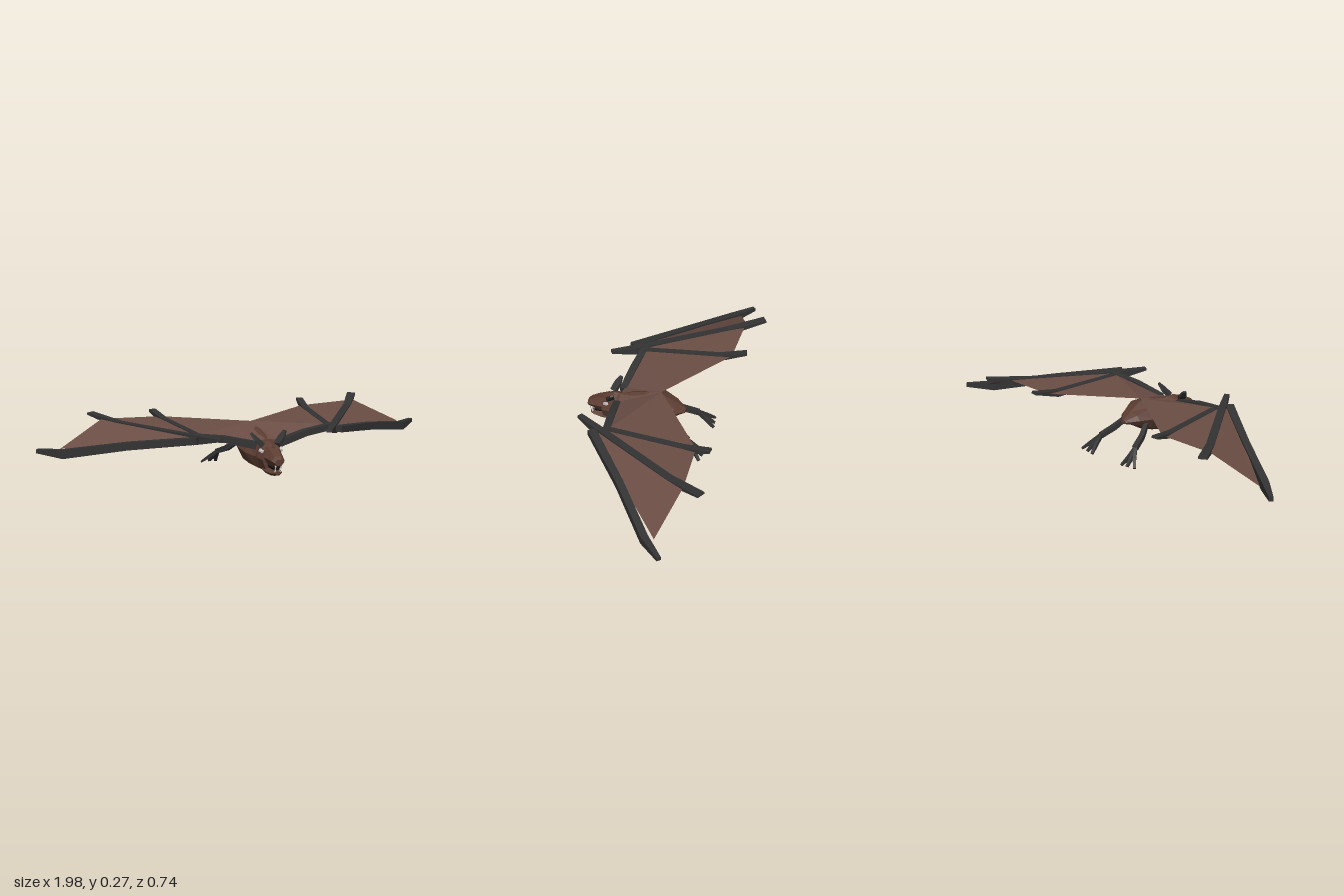
import * as THREE from 'three';

const material = (color, side = THREE.FrontSide) =>
  new THREE.MeshStandardMaterial({ color, side, flatShading: true });
const fur = material(0x5c3d32);
const bone = material(0x333333);
const skin = material(0x6b4e45, THREE.DoubleSide);
const mouthDark = material(0x1c1616);
const ivory = material(0xcccccc);

const v = (x, y, z) => new THREE.Vector3(x, y, z);

function meshFrom(name, points, mat) {
  const geo = new THREE.BufferGeometry().setFromPoints(points);
  geo.computeVertexNormals();
  const mesh = new THREE.Mesh(geo, mat);
  mesh.name = name;
  return mesh;
}

// Skins a list of equal-sized rings and caps both ends
function loft(name, rings, mat) {
  const pts = [], n = rings[0].length;
  for (let i = 0; i < rings.length - 1; i++) {
    for (let j = 0; j < n; j++) {
      const k = (j + 1) % n;
      const a = rings[i][j], b = rings[i][k], c = rings[i + 1][j], d = rings[i + 1][k];
      pts.push(a, b, d, a, d, c);
    }
  }
  const first = rings[0], last = rings[rings.length - 1];
  for (let j = 1; j < n - 1; j++) {
    pts.push(first[0], first[j + 1], first[j], last[0], last[j], last[j + 1]);
  }
  return meshFrom(name, pts, mat);
}

// Rounded trunk from stations [z, bottom, top, half width]
function trunk(name, stations, mat, sides = 8) {
  return loft(name, stations.map(([z, lo, hi, w]) =>
    Array.from({ length: sides }, (_, j) => {
      const a = (j / sides) * Math.PI * 2;
      return v(w * Math.cos(a), (lo + hi) / 2 + ((hi - lo) / 2) * Math.sin(a), z);
    })), mat);
}

// Square-section bone through stations [x, y, z, width, height]
function beam(name, s, stations, mat = bone) {
  const centres = stations.map(([x, y, z]) => v(x * s, y, z));
  const rings = stations.map(([, , , w, h], i) => {
    const p = centres[i];
    const dir = centres[Math.min(i + 1, centres.length - 1)].clone()
      .sub(centres[Math.max(i - 1, 0)]).normalize();
    const right = v(0, 1, 0).cross(dir).normalize();
    const up = dir.clone().cross(right);
    return [[1, 1], [-1, 1], [-1, -1], [1, -1]].map(([a, b]) =>
      p.clone().addScaledVector(right, a * w / 2).addScaledVector(up, b * h / 2));
  });
  return loft(name, rings, mat);
}

// Membrane panel as a fan of triangles
function panel(name, s, corners) {
  const c = corners.map(([x, y, z]) => v(x * s, y, z));
  const pts = [];
  for (let i = 1; i < c.length - 1; i++) {
    pts.push(c[0], ...(s > 0 ? [c[i], c[i + 1]] : [c[i + 1], c[i]]));
  }
  return meshFrom(name, pts, skin);
}

function wing(s) {
  const g = new THREE.Group();
  g.name = s > 0 ? 'leftWing' : 'rightWing';
  g.add(
    beam('armBone', s, [[0.055, 0.175, 0.205, 0.035, 0.035], [0.2, 0.212, 0.19, 0.035, 0.03],
      [0.35, 0.23, 0.172, 0.035, 0.03]]),
    beam('innerFinger', s, [[0.325, 0.226, 0.18, 0.03, 0.03], [0.37, 0.232, -0.2, 0.034, 0.03],
      [0.391, 0.264, -0.33, 0.034, 0.012]]),
    beam('middleFinger', s, [[0.265, 0.24, 0.325, 0.026, 0.012], [0.345, 0.222, 0.195, 0.034, 0.045],
      [0.595, 0.235, -0.19, 0.038, 0.03], [0.695, 0.266, -0.36, 0.042, 0.01]]),
    beam('outerFinger', s, [[0.35, 0.228, 0.24, 0.04, 0.03], [0.62, 0.18, 0.03, 0.034, 0.036],
      [0.88, 0.123, -0.155, 0.034, 0.042], [0.985, 0.126, -0.248, 0.02, 0.018]]),
    // Panels between body and fingers
    panel('innerMembrane', s, [[0, 0.245, 0], [0, 0.2, 0.2], [0.06, 0.19, 0.2],
      [0.33, 0.238, 0.172], [0.372, 0.245, -0.26]]),
    panel('middleMembrane', s, [[0.33, 0.238, 0.175], [0.36, 0.235, 0.17],
      [0.655, 0.252, -0.27], [0.372, 0.245, -0.26]]),
    panel('outerMembrane', s, [[0.36, 0.235, 0.2], [0.38, 0.228, 0.215],
      [0.885, 0.138, -0.2], [0.66, 0.253, -0.27]]),
  );
  return g;
}

function leg(s) {
  const g = new THREE.Group();
  g.name = s > 0 ? 'leftLeg' : 'rightLeg';
  g.add(
    beam('thigh', s, [[0.065, 0.14, -0.03, 0.02, 0.022], [0.09, 0.1, -0.09, 0.024, 0.026],
      [0.112, 0.072, -0.16, 0.026, 0.022]]),
  );
  // Three splayed toes
  for (const [x, y, z] of [[0.096, 0.005, -0.238], [0.13, 0.008, -0.235], [0.172, 0.008, -0.228]]) {
    g.add(beam('toe', s, [[0.112, 0.074, -0.155, 0.014, 0.018],
      [(x + 0.112) / 2 + 0.003, 0.035, -0.2, 0.016, 0.016], [x, y, z, 0.014, 0.008]]));
  }
  return g;
}

function head() {
  const g = new THREE.Group();
  g.name = 'head';
  g.add(
    trunk('skull', [[0.19, 0.055, 0.2, 0.05], [0.235, 0.05, 0.2, 0.062], [0.285, 0.062, 0.18, 0.052]], fur),
    trunk('snout', [[0.265, 0.085, 0.188, 0.052], [0.315, 0.094, 0.17, 0.04],
      [0.35, 0.102, 0.152, 0.032], [0.365, 0.105, 0.138, 0.022]], fur, 6),
    trunk('lowerJaw', [[0.25, 0.046, 0.1, 0.044], [0.3, 0.047, 0.086, 0.035],
      [0.335, 0.053, 0.08, 0.026], [0.352, 0.062, 0.077, 0.016]], fur, 6),
    trunk('mouth', [[0.27, 0.07, 0.12, 0.03], [0.33, 0.072, 0.115, 0.018]], mouthDark, 6),
  );
  for (const s of [1, -1]) {
    g.add(
      beam('ear', s, [[0.035, 0.18, 0.25, 0.03, 0.02], [0.062, 0.208, 0.235, 0.036, 0.016],
        [0.085, 0.238, 0.222, 0.016, 0.008]]),
      beam('eye', s, [[0.044, 0.156, 0.275, 0.012, 0.01], [0.054, 0.164, 0.255, 0.012, 0.012]], ivory),
      beam('upperFang', s, [[0.014, 0.112, 0.352, 0.008, 0.008], [0.014, 0.09, 0.354, 0.002, 0.002]], ivory),
      beam('lowerFang', s, [[0.012, 0.072, 0.342, 0.007, 0.007], [0.012, 0.092, 0.344, 0.002, 0.002]], ivory),
    );
  }
  return g;
}

export function createModel() {
  const model = new THREE.Group();
  model.name = 'bat';
  // Body tapers from a broad chest to a pointed rump
  model.add(trunk('body', [[-0.12, 0.15, 0.17, 0.015], [-0.07, 0.132, 0.2, 0.06],
    [0, 0.09, 0.236, 0.09], [0.08, 0.06, 0.23, 0.1], [0.15, 0.052, 0.215, 0.09],
    [0.195, 0.045, 0.203, 0.065], [0.235, 0.052, 0.195, 0.05]], fur));
  model.add(head());
  for (const s of [1, -1]) model.add(wing(s), leg(s));
  return model;
}
